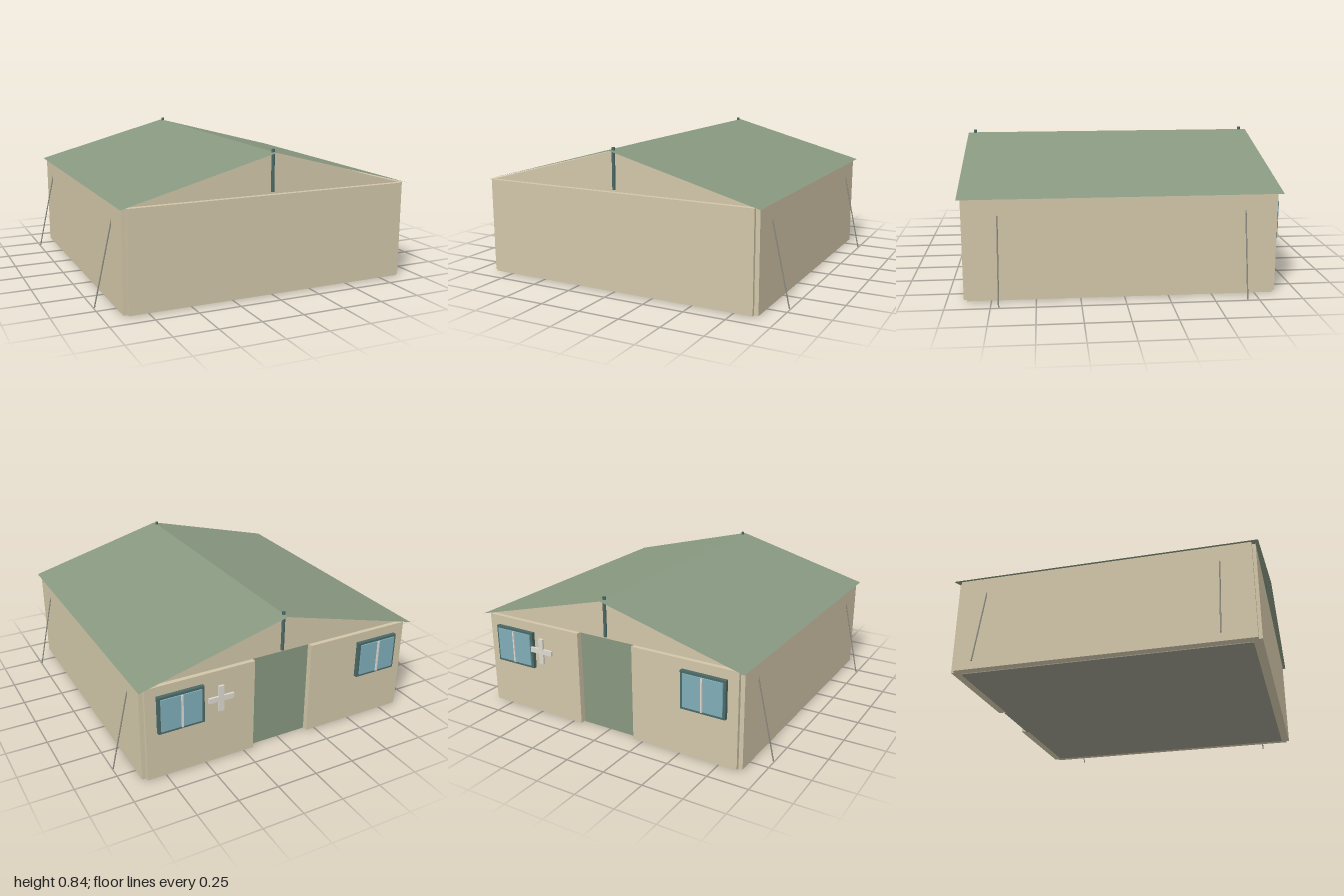
import * as THREE from 'three';

const mat = (name, color, side = THREE.FrontSide) => {
  const m = new THREE.MeshStandardMaterial({ color, side });
  m.name = name;
  return m;
};

export function createModel() {
  const group = new THREE.Group();
  group.name = 'tent';
  const canvas = mat('tan canvas', 0xd1c5a8, THREE.DoubleSide);
  const green = mat('green canvas', 0x889880, THREE.DoubleSide);
  const frameMat = mat('dark teal frame', 0x4b6966);
  const glassMat = mat('blue glass', 0x7fadb8);
  const pale = mat('pale grey', 0xdcd8cf);
  const floorMat = mat('grey floor', 0x98988a);
  const ropeMat = mat('grey rope', 0x8a8a80);

  const add = (name, geo, material, parent = group) => {
    const mesh = new THREE.Mesh(geo, material);
    mesh.name = name;
    parent.add(mesh);
    return mesh;
  };
  // Box given by its minimum and maximum corners
  const box = (name, x0, x1, y0, y1, z0, z1, material, parent) => {
    const mesh = add(name, new THREE.BoxGeometry(x1 - x0, y1 - y0, z1 - z0), material, parent);
    mesh.position.set((x0 + x1) / 2, (y0 + y1) / 2, (z0 + z1) / 2);
    return mesh;
  };
  // Thin round bar between two points
  const bar = (name, a, b, r, material) => {
    const dir = b.clone().sub(a);
    const mesh = add(name, new THREE.CylinderGeometry(r, r, dir.length(), 8), material);
    mesh.position.copy(a).add(b).multiplyScalar(0.5);
    mesh.quaternion.setFromUnitVectors(new THREE.Vector3(0, 1, 0), dir.normalize());
  };

  const wallTop = 0.587, wallBase = 0.005, ridge = 0.826;

  // Floor and front wall
  box('floor', -0.84, 0.84, 0.001, 0.012, -0.822, 0.855, floorMat);
  box('frontWall', -0.865, 0.865, wallBase, wallTop, 0.855, 0.905, canvas);

  // Recessed door curtain
  box('door', -0.19, 0.19, 0, wallTop, -0.835, -0.823, green);

  for (const s of [-1, 1]) {
    const span = (a, b) => (s > 0 ? [a, b] : [-b, -a]);
    // Side wall and back wall panel
    box('sideWall', ...span(0.84, 0.89), wallBase, wallTop, -0.85, 0.885, canvas);
    box('backWall', ...span(0.19, 0.865), wallBase, wallTop, -0.872, -0.822, canvas);

    // Window with frame, glass and centre bar
    const win = new THREE.Group();
    win.name = 'window';
    group.add(win);
    box('windowFrame', ...span(0.52, 0.8), 0.3, 0.53, -0.895, -0.872, frameMat, win);
    box('windowGlass', ...span(0.537, 0.785), 0.316, 0.516, -0.902, -0.895, glassMat, win);
    box('windowBar', ...span(0.655, 0.665), 0.316, 0.516, -0.911, -0.902, pale, win);

    // Roof slope
    const slope = add('roof', new THREE.PlaneGeometry(Math.hypot(0.905, ridge - wallTop), 1.818), green);
    slope.geometry.rotateX(-Math.PI / 2);
    slope.rotation.z = -s * Math.atan2(ridge - wallTop, 0.905);
    slope.position.set(s * 0.4525, (ridge + wallTop) / 2, 0.014);

    // Guy ropes
    for (const z of [0.705, -0.682]) {
      bar('guyRope', new THREE.Vector3(s * 0.885, 0.5, z), new THREE.Vector3(s * 0.997, 0.004, z), 0.004, ropeMat);
    }
  }

  // Gable triangles and ridge poles
  const tri = new THREE.Shape();
  tri.moveTo(-0.87, wallTop);
  tri.lineTo(0.87, wallTop);
  tri.lineTo(0, ridge - 0.003);
  for (const [gableZ, poleZ] of [[0.875, 0.88], [-0.845, -0.852]]) {
    add('gable', new THREE.ShapeGeometry(tri), canvas).position.z = gableZ;
    bar('ridgePole', new THREE.Vector3(0, 0.6, poleZ), new THREE.Vector3(0, 0.842, poleZ), 0.01, frameMat);
  }

  // Plus-shaped sign beside the window
  box('signUpright', 0.414, 0.446, 0.36, 0.52, -0.925, -0.912, pale);
  for (const [a, b] of [[0.352, 0.414], [0.446, 0.508]]) {
    box('signArm', a, b, 0.424, 0.456, -0.925, -0.912, pale);
  }
  return group;
}
